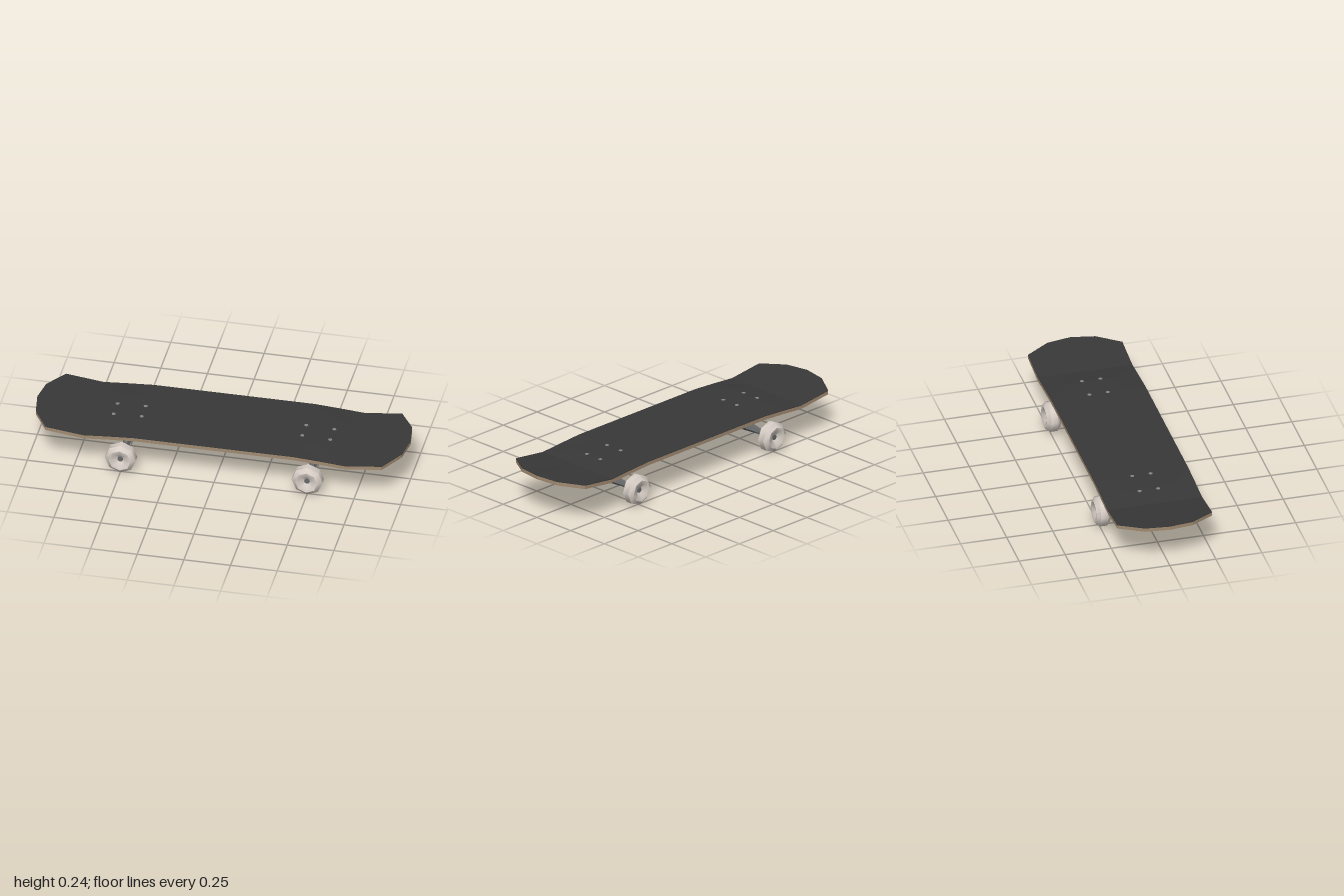
import * as THREE from 'three';
import { toCreasedNormals } from 'three/addons/utils/BufferGeometryUtils.js';

const wood = new THREE.MeshStandardMaterial({ color: 0xa08a70, flatShading: true });
const grip = new THREE.MeshStandardMaterial({ color: 0x383838, flatShading: true });
const metal = new THREE.MeshStandardMaterial({ color: 0x66686a, flatShading: true });
const bolt = new THREE.MeshStandardMaterial({ color: 0x858585 });
const rubber = new THREE.MeshStandardMaterial({ color: 0xd6cdc5 });

function add(parent, name, geometry, material, x = 0, y = 0, z = 0) {
  const m = new THREE.Mesh(geometry, material);
  m.name = name;
  m.position.set(x, y, z);
  parent.add(m);
  return m;
}

function fromTriangles(points) {
  const g = new THREE.BufferGeometry().setFromPoints(points);
  g.computeVertexNormals();
  return g;
}

// Deck grid: fixed lengthwise rows, with rounded ends and upturned kicks
const rows = [-0.256, -0.13, 0, 0.13, 0.256];
const rowEnd = [0.9, 0.98, 1, 0.98, 0.9];
const endY = [0.23, 0.237, 0.24, 0.237, 0.23];
const stations = [[0.43, 0.225], [0.57, 0.216], [0.7, 0.206]];
const COLS = 8;

function deckPoint(i, j, drop) {
  const side = i < 4 ? -1 : 1;
  const k = i < 4 ? 3 - i : i - 4;
  const [x, y] = k === 3 ? [rowEnd[j], endY[j]] : stations[k];
  const crown = k === 1 && j > 0 && j < 4 ? 0.005 : 0;
  return new THREE.Vector3(side * x, y + crown - drop, rows[j]);
}

function sheet(drop, down) {
  const t = [];
  for (let i = 0; i < COLS - 1; i++) for (let j = 0; j < 4; j++) {
    const a = deckPoint(i, j, drop), b = deckPoint(i, j + 1, drop);
    const c = deckPoint(i + 1, j + 1, drop), d = deckPoint(i + 1, j, drop);
    t.push(...(down ? [a, d, c, a, c, b] : [a, b, c, a, c, d]));
  }
  return t;
}

function rim(top, bottom) {
  const loop = [], t = [];
  for (let i = 0; i < 7; i++) loop.push([i, 4]);
  for (let j = 4; j > 0; j--) loop.push([7, j]);
  for (let i = 7; i > 0; i--) loop.push([i, 0]);
  for (let j = 0; j < 4; j++) loop.push([0, j]);
  loop.forEach((p, n) => {
    const q = loop[(n + 1) % loop.length];
    const a = deckPoint(...p, bottom), b = deckPoint(...q, bottom);
    const c = deckPoint(...q, top), d = deckPoint(...p, top);
    t.push(a, b, c, a, c, d);
  });
  return t;
}

// Hanger: hexagonal sections [z, bottom, top, half width, half width of crest]
function hangerGeometry() {
  const half = [[0, 0.067, 0.13, 0.032, 0.02], [0.03, 0.067, 0.122, 0.03, 0.016],
    [0.1, 0.069, 0.107, 0.02, 0.01], [0.2, 0.076, 0.091, 0.009, 0.005]];
  const sections = [...half.slice(1).reverse().map(([z, ...r]) => [-z, ...r]), ...half];
  const rings = sections.map(([z, lo, hi, w, c]) => {
    const mid = lo + (hi - lo) * 0.35;
    return [[c, lo], [w, mid], [c, hi], [-c, hi], [-w, mid], [-c, lo]]
      .map(([x, y]) => new THREE.Vector3(x, y, z));
  });
  const t = [];
  for (let s = 0; s < rings.length - 1; s++) for (let k = 0; k < 6; k++) {
    const n = (k + 1) % 6, A = rings[s], B = rings[s + 1];
    t.push(A[k], A[n], B[n], A[k], B[n], B[k]);
  }
  const first = rings[0], last = rings[rings.length - 1];
  for (let k = 1; k < 5; k++) {
    t.push(first[0], first[k + 1], first[k], last[0], last[k], last[k + 1]);
  }
  return fromTriangles(t);
}

// Four-sided tapered block, widths given at top and bottom
function taper(topX, topZ, botX, botZ, h) {
  const g = new THREE.BoxGeometry(1, h, 1);
  const p = g.attributes.position;
  for (let i = 0; i < p.count; i++) {
    const up = p.getY(i) > 0;
    p.setX(i, p.getX(i) * (up ? topX : botX));
    p.setZ(i, p.getZ(i) * (up ? topZ : botZ));
  }
  g.computeVertexNormals();
  return g;
}

// Eight-sided wheel with chamfered tread and dished hubs
function wheelGeometry() {
  const profile = [[0.014, -0.016], [0.042, -0.036], [0.06, -0.039], [0.083, -0.019],
    [0.083, 0.019], [0.06, 0.039], [0.042, 0.036], [0.014, 0.016]];
  const g = new THREE.LatheGeometry(profile.map(([r, y]) => new THREE.Vector2(r, y)), 8);
  g.rotateX(Math.PI / 2);
  return toCreasedNormals(g, 0.8);
}

// Truck built for the +x end: pivot arm outward, kingpin inward
function buildTruck() {
  const truck = new THREE.Group();
  add(truck, 'basePlate', new THREE.BoxGeometry(0.19, 0.014, 0.13), metal, 0.005, 0.194, 0);
  add(truck, 'pivotSeat', taper(0.06, 0.066, 0.04, 0.052, 0.026), metal, 0.065, 0.177, 0);
  add(truck, 'kingpinSeat', taper(0.07, 0.066, 0.05, 0.052, 0.026), metal, -0.045, 0.177, 0);
  add(truck, 'hanger', hangerGeometry(), metal);
  const arm = add(truck, 'pivotArm', taper(0.022, 0.024, 0.036, 0.044, 0.085), metal, 0.038, 0.14, 0);
  arm.rotation.z = -0.75;
  const ring = add(truck, 'kingpinRing', new THREE.CylinderGeometry(0.032, 0.032, 0.022, 8), metal, -0.036, 0.122, 0);
  const pin = add(truck, 'kingpin', new THREE.CylinderGeometry(0.011, 0.011, 0.1, 6), metal, -0.04, 0.132, 0);
  const bushing = add(truck, 'bushing', new THREE.CylinderGeometry(0.024, 0.02, 0.04, 8), metal, -0.043, 0.15, 0);
  for (const m of [ring, pin, bushing]) m.rotation.z = 0.25;
  const axle = add(truck, 'axle', new THREE.CylinderGeometry(0.015, 0.015, 0.52, 8), metal, 0, 0.083, 0);
  axle.rotation.x = Math.PI / 2;
  for (const s of [-1, 1]) {
    add(truck, s > 0 ? 'frontWheel' : 'backWheel', wheelGeometry(), rubber, 0, 0.083, s * 0.239);
  }
  return truck;
}

export function createModel() {
  const model = new THREE.Group();
  model.name = 'skateboard';

  // Deck and its grip surface
  add(model, 'deck', fromTriangles([...sheet(0.0225, true), ...rim(0.003, 0.0225)]), wood);
  add(model, 'gripSurface', fromTriangles([...sheet(0, false), ...rim(0, 0.003)]), grip);

  for (const s of [-1, 1]) {
    const truck = buildTruck();
    truck.name = s > 0 ? 'leftTruck' : 'rightTruck';
    truck.position.x = s * 0.5;
    if (s < 0) truck.rotation.y = Math.PI;
    model.add(truck);

    // Mounting bolts
    for (const x of [0.43, 0.58]) for (const z of [-0.05, 0.05]) {
      add(model, 'bolt', new THREE.CylinderGeometry(0.011, 0.011, 0.012, 8), bolt,
        s * x, x < 0.5 ? 0.2205 : 0.2155, z);
    }
  }
  return model;
}
